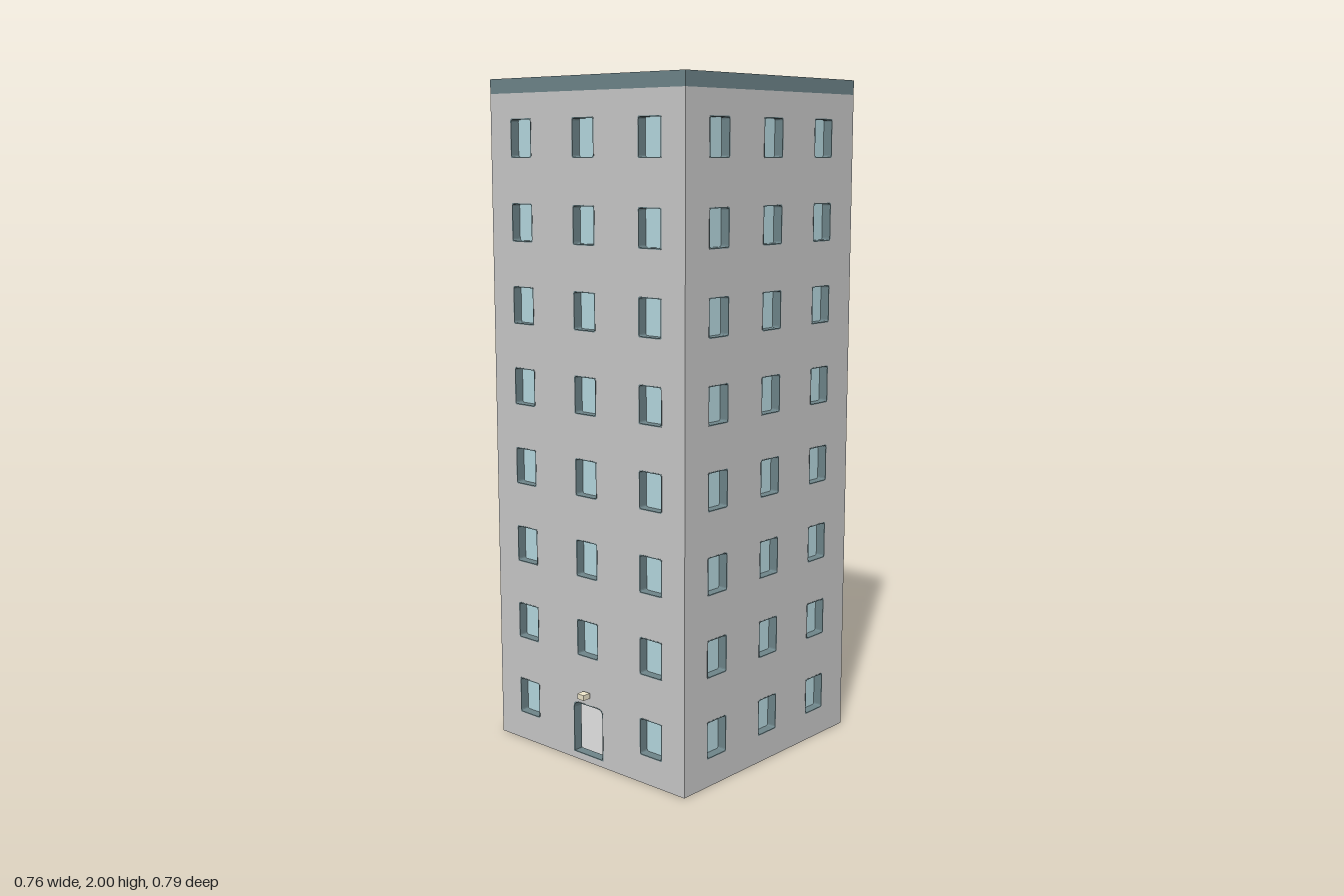
import * as THREE from 'three';

const mat = (color) => new THREE.MeshStandardMaterial({ color, side: THREE.DoubleSide });
const GREY = mat(0xcccccc);
const SLATE = mat(0x6f868b);
const GLASS = mat(0xb8dbe2);
const LAMP = mat(0xf0e8cc);

const HALF = 0.378;                // half width of the tower
const FRONT = 0.362, BACK = -0.394; // facade planes
const MID = (FRONT + BACK) / 2;
const WALL = 0.03, WALL_TOP = 1.958;
const FLOORS = 8, FIRST = 0.14, STEP = 0.2415;

function mesh(name, geometry, material, x = 0, y = 0, z = 0) {
  const m = new THREE.Mesh(geometry, material);
  m.name = name;
  m.position.set(x, y, z);
  return m;
}

// Rectangle with separate corner radii at the bottom and the top
function outline(Type, cx, cy, w, h, rBottom, rTop) {
  const s = new Type();
  const l = cx - w / 2, r = cx + w / 2, b = cy - h / 2, t = cy + h / 2;
  s.moveTo(l + rBottom, b);
  s.lineTo(r - rBottom, b);
  s.quadraticCurveTo(r, b, r, b + rBottom);
  s.lineTo(r, t - rTop);
  s.quadraticCurveTo(r, t, r - rTop, t);
  s.lineTo(l + rTop, t);
  s.quadraticCurveTo(l, t, l, t - rTop);
  s.lineTo(l, b + rBottom);
  s.quadraticCurveTo(l, b, l + rBottom, b);
  return s;
}

const extrude = (shape, depth) =>
  new THREE.ExtrudeGeometry(shape, { depth, bevelEnabled: false, curveSegments: 3 });

// One facade: pierced wall, slate linings in the openings and recessed panes
function facade(name, width, columns, hasDoor) {
  const g = new THREE.Group();
  g.name = name;
  const openings = [];
  for (let f = 0; f < FLOORS; f++) {
    for (const x of columns) {
      if (hasDoor && f === 0 && x === 0) continue;
      openings.push({ part: 'window', x, y: FIRST + f * STEP, w: 0.086, h: 0.112, rb: 0.006, rt: 0.006 });
    }
  }
  if (hasDoor) openings.push({ part: 'door', x: 0, y: 0.1, w: 0.122, h: 0.16, rb: 0, rt: 0.018 });

  const wall = new THREE.Shape();
  wall.moveTo(-width / 2, 0);
  wall.lineTo(width / 2, 0);
  wall.lineTo(width / 2, WALL_TOP);
  wall.lineTo(-width / 2, WALL_TOP);
  wall.closePath();

  const rim = 0.003;
  for (const o of openings) {
    wall.holes.push(outline(THREE.Path, o.x, o.y, o.w, o.h, o.rb, o.rt));
    const ring = outline(THREE.Shape, o.x, o.y, o.w, o.h, o.rb, o.rt);
    ring.holes.push(outline(THREE.Path, o.x, o.y, o.w - 2 * rim, o.h - 2 * rim, o.rb, o.rt));
    g.add(mesh(o.part + 'Lining', extrude(ring, WALL), SLATE, 0, 0, -WALL + 0.0005));
    if (o.part === 'window') {
      const pane = new THREE.PlaneGeometry(o.w - rim, o.h - rim);
      g.add(mesh('windowGlass', pane, GLASS, o.x, o.y, -WALL + 0.002));
    }
  }
  g.add(mesh(name + 'Panel', extrude(wall, WALL), GREY, 0, 0, -WALL));
  return g;
}

export function createModel() {
  const tower = new THREE.Group();
  tower.name = 'apartmentTower';

  // Four walls; the front has an open doorway instead of its middle ground window
  const front = facade('frontWall', 2 * HALF, [-0.251, 0, 0.251], true);
  front.position.z = FRONT;
  const back = facade('backWall', 2 * HALF, [-0.251, 0, 0.251], false);
  back.position.z = BACK;
  back.rotation.y = Math.PI;
  tower.add(front, back);
  const sideWidth = FRONT - BACK - 2 * WALL;
  for (const s of [1, -1]) {
    const columns = [-0.238, -0.004, 0.23].map((x) => x * s);
    const side = facade(s > 0 ? 'leftWall' : 'rightWall', sideWidth, columns, false);
    side.position.set(s * HALF, 0, MID);
    side.rotation.y = s * Math.PI / 2;
    tower.add(side);
  }

  // Ground floor and roof slabs inside the walls
  const innerW = 2 * (HALF - WALL);
  tower.add(mesh('groundFloor', new THREE.BoxGeometry(innerW, 0.02, sideWidth), GREY, 0, 0.01, MID));
  tower.add(mesh('roof', new THREE.BoxGeometry(2 * HALF - 0.02, 0.012, FRONT - BACK - 0.02), GREY, 0, 1.957, MID));

  // Parapet ring around the roof
  const parapet = outline(THREE.Shape, 0, 0, 2 * HALF, FRONT - BACK, 0, 0);
  parapet.holes.push(outline(THREE.Path, 0, 0, 2 * HALF - 0.03, FRONT - BACK - 0.027, 0, 0));
  const parapetMesh = mesh('parapet', extrude(parapet, 2 - WALL_TOP), SLATE, 0, WALL_TOP, MID);
  parapetMesh.rotation.x = -Math.PI / 2;
  tower.add(parapetMesh);

  // Lamp above the doorway
  tower.add(mesh('doorLamp', new THREE.BoxGeometry(0.026, 0.016, 0.026), LAMP, 0, 0.213, 0.381));
  tower.add(mesh('lampBracket', new THREE.BoxGeometry(0.008, 0.008, 0.012), SLATE, 0, 0.213, 0.364));

  return tower;
}
